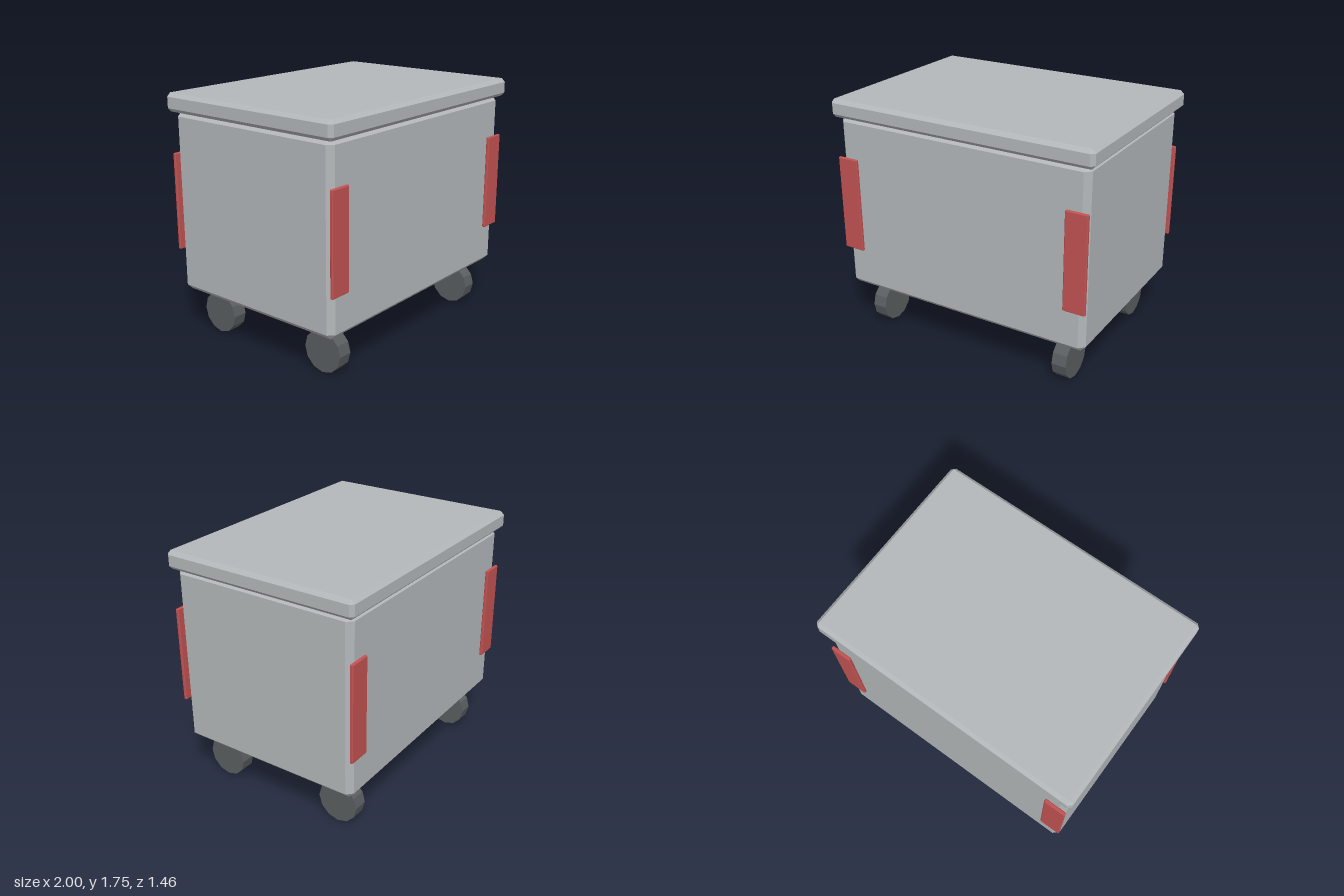
import * as THREE from 'three';
import { ConvexGeometry } from 'three/addons/geometries/ConvexGeometry.js';

const material = (name, color) => {
  const m = new THREE.MeshStandardMaterial({ color, flatShading: true });
  m.name = name;
  return m;
};

// Box with flat bevels of width c on every edge and corner
function chamferBox(w, h, d, c) {
  const half = [w / 2, h / 2, d / 2];
  const points = [];
  for (const sx of [-1, 1]) for (const sy of [-1, 1]) for (const sz of [-1, 1]) {
    const sign = [sx, sy, sz];
    for (let axis = 0; axis < 3; axis++) {
      const p = half.map((v, i) => sign[i] * (i === axis ? v : v - c));
      points.push(new THREE.Vector3(...p));
    }
  }
  return new ConvexGeometry(points);
}

export function createModel() {
  const grey = material('light grey', 0xb4b8ba);
  const red = material('red', 0xc25252);
  const dark = material('dark grey', 0x5a5e60);
  const model = new THREE.Group();
  model.name = 'wheeledBin';

  const add = (name, geometry, mat, x, y, z) => {
    const mesh = new THREE.Mesh(geometry, mat);
    mesh.name = name;
    mesh.position.set(x, y, z);
    model.add(mesh);
  };

  // Container and overhanging lid
  add('body', chamferBox(1.92, 1.295, 1.384, 0.04), grey, 0, 0.977, 0);
  add('lid', chamferBox(2, 0.13, 1.46, 0.026), grey, 0, 1.68, 0);

  // Corner plates and wheels, one at each corner
  const plate = chamferBox(0.16, 0.696, 0.024, 0.005);
  const wheel = new THREE.CylinderGeometry(0.15, 0.15, 0.106, 12).rotateZ(Math.PI / 2);
  for (const [sideName, sx] of [['Left', 1], ['Right', -1]]) {
    for (const [endName, sz] of [['front', 1], ['back', -1]]) {
      add(endName + sideName + 'Plate', plate, red, sx * 0.892, 0.977, sz * 0.703);
      add(endName + sideName + 'Wheel', wheel, dark, sx * 0.758, 0.15, sz * 0.487);
    }
  }
  return model;
}
